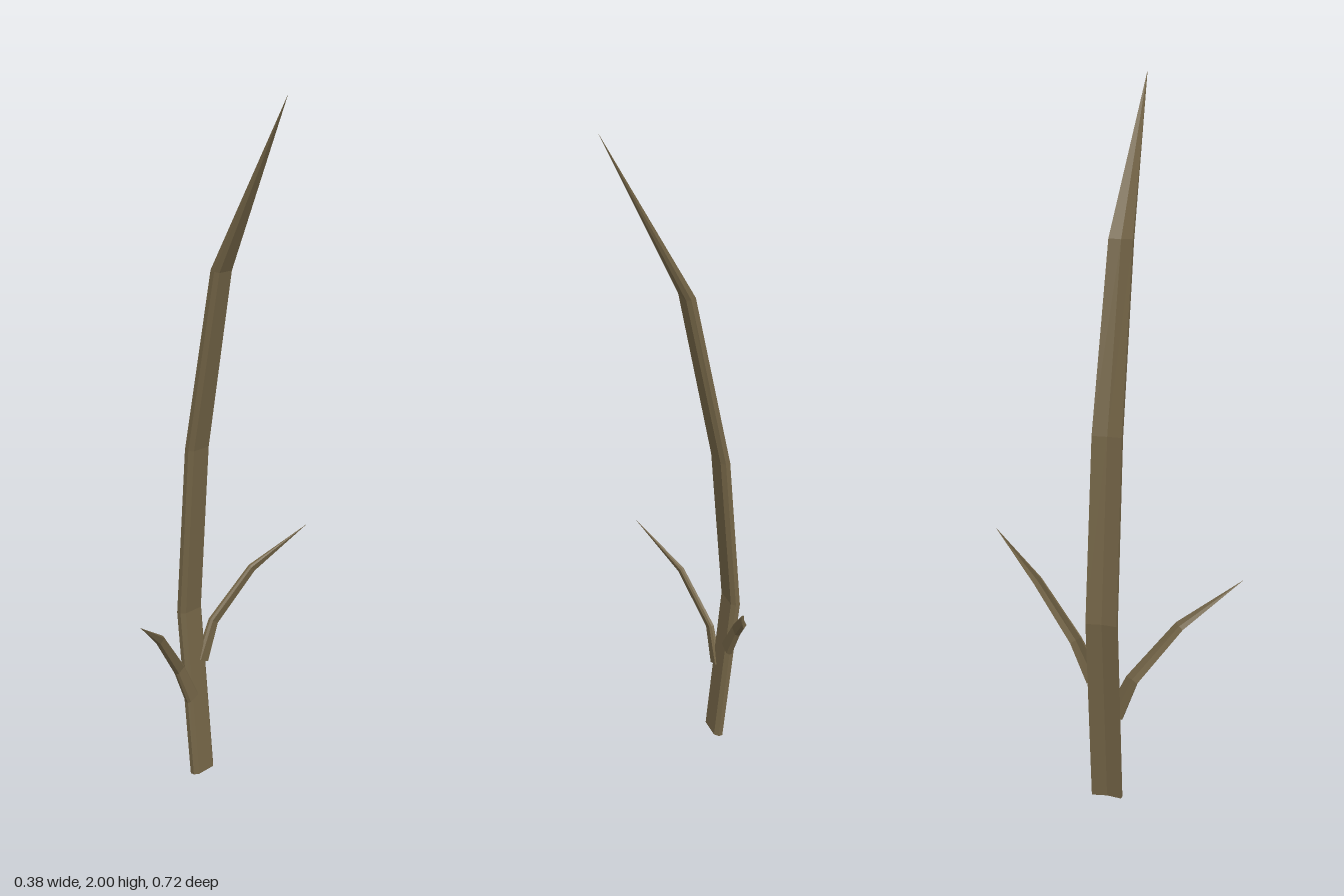
import * as THREE from 'three';

// Flattened section, grooved on its back: [across the width, through the thickness]
const SECTION = [[0, -0.5], [1, -1], [1, 0.1], [0.72, 1], [-0.72, 1], [-1, 0.1], [-1, -1]];

// Sweeps the section along a path of [x, y, z, halfWidth, halfThickness]; the last point is the tip
function bladeGeometry(path) {
  const centres = path.map(([x, y, z]) => new THREE.Vector3(x, y, z));
  const last = path.length - 1;
  const n = SECTION.length;
  const rings = path.slice(0, last).map(([, , , halfWidth, halfThick], i) => {
    const tangent = centres[i + 1].clone().sub(centres[i]).normalize();
    if (i > 0) tangent.add(centres[i].clone().sub(centres[i - 1]).normalize()).normalize();
    const across = new THREE.Vector3(1, 0, 0).cross(tangent).normalize();
    const through = tangent.clone().cross(across);
    return SECTION.map(([w, t]) => centres[i].clone()
      .addScaledVector(across, w * halfWidth)
      .addScaledVector(through, t * halfThick));
  });

  const corners = [];
  for (let j = 0; j < n; j++) {
    const k = (j + 1) % n;
    // sides
    for (let i = 0; i < last - 1; i++) {
      const [a, b, c, d] = [rings[i][j], rings[i][k], rings[i + 1][k], rings[i + 1][j]];
      corners.push(a, b, c, a, c, d);
    }
    // point
    corners.push(rings[last - 1][j], rings[last - 1][k], centres[last]);
    // cut end
    if (j > 0 && k > 0) corners.push(rings[0][0], rings[0][k], rings[0][j]);
  }
  const geometry = new THREE.BufferGeometry().setFromPoints(corners);
  geometry.computeVertexNormals();
  return geometry;
}

export function createModel() {
  const group = new THREE.Group();
  group.name = 'branch';
  const bark = new THREE.MeshStandardMaterial({ color: 0x736446 });
  bark.name = 'brown bark';

  const parts = {
    mainStem: [
      [-0.132, 0.001, 0.003, 0.043, 0.012],
      [-0.179, 0.52, 0.003, 0.044, 0.012],
      [-0.137, 1.03, 0.007, 0.042, 0.012],
      [-0.035, 1.545, 0.015, 0.034, 0.012],
      [0.19, 2, 0.022],
    ],
    frontTwig: [
      [-0.148, 0.25, 0.03, 0.024, 0.008],
      [-0.151, 0.36, 0.08, 0.018, 0.007],
      [-0.107, 0.51, 0.2, 0.014, 0.006],
      [-0.02, 0.63, 0.36],
    ],
    backTwig: [
      [-0.158, 0.35, -0.025, 0.024, 0.008],
      [-0.16, 0.46, -0.078, 0.018, 0.007],
      [-0.117, 0.605, -0.203, 0.014, 0.006],
      [-0.033, 0.725, -0.362],
    ],
  };
  for (const [name, path] of Object.entries(parts)) {
    const mesh = new THREE.Mesh(bladeGeometry(path), bark);
    mesh.name = name;
    group.add(mesh);
  }
  return group;
}
